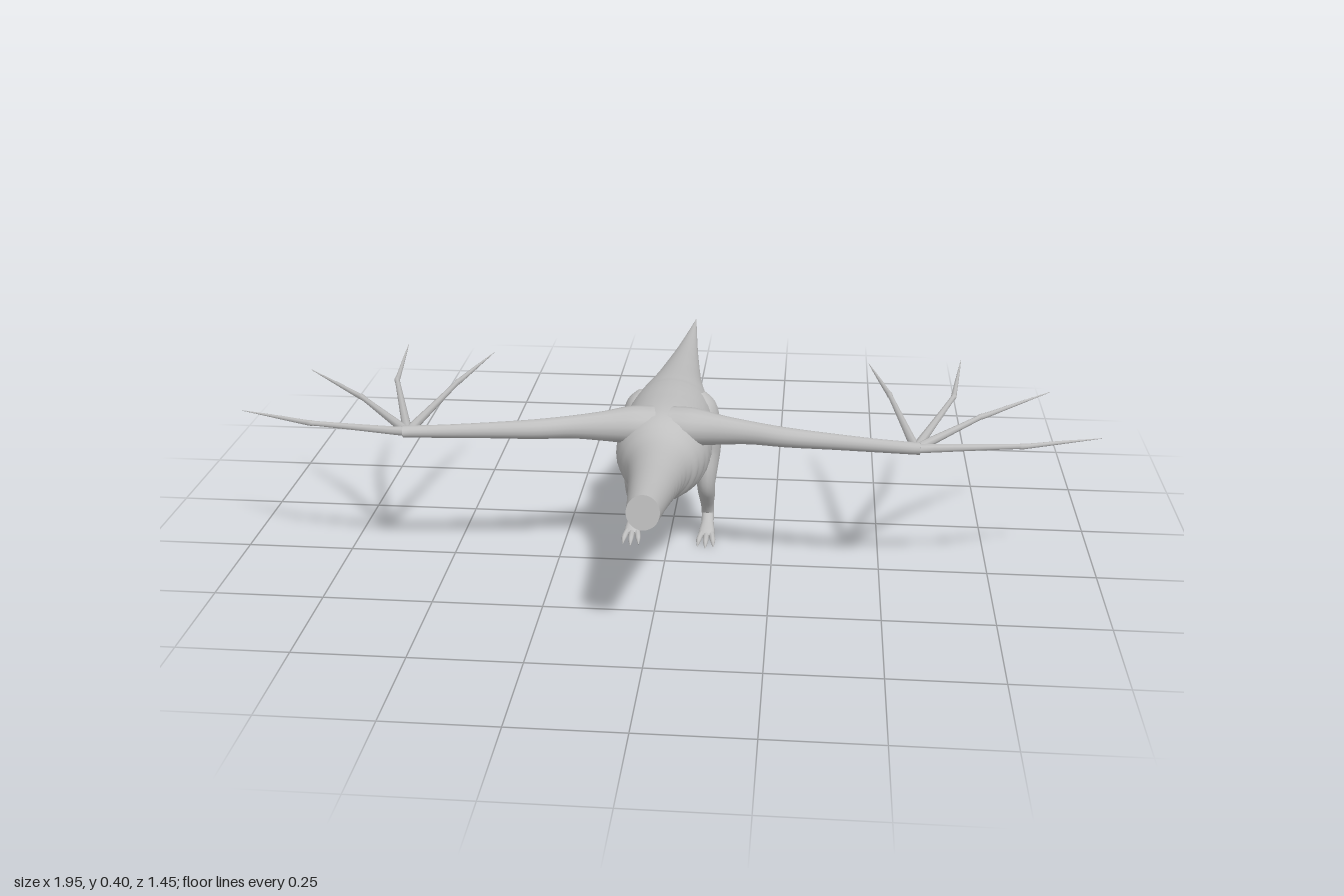
import * as THREE from 'three';

const skin = new THREE.MeshStandardMaterial({ color: 0xbfbfbf });
skin.name = 'grey skin';

// Smooth loft along points [x, y, z, r1, r2]: r1 lies along the ref axis, r2 across it.
function loft(name, pts, ref, rings, sides, bump = () => 1) {
  const path = new THREE.CatmullRomCurve3(pts.map(p => new THREE.Vector3(p[0], p[1], p[2])), false, 'catmullrom', 0.5);
  const size = new THREE.CatmullRomCurve3(pts.map(p => new THREE.Vector3(p[3], p[4] ?? p[3], 0)), false, 'catmullrom', 0.5);
  const pos = [], idx = [], loops = [];
  for (let i = 0; i <= rings; i++) {
    const t = i / rings, c = path.getPoint(t), r = size.getPoint(t), dir = path.getTangent(t);
    const v = new THREE.Vector3().crossVectors(dir, ref).normalize();
    const u = new THREE.Vector3().crossVectors(v, dir).normalize();
    const loop = [];
    for (let j = 0; j < sides; j++) {
      const a = j / sides * Math.PI * 2, k = bump(c, a);
      loop.push(c.clone().addScaledVector(u, Math.cos(a) * r.x * k).addScaledVector(v, Math.sin(a) * r.y * k));
    }
    loops.push(loop);
    loop.forEach(p => pos.push(p.x, p.y, p.z));
  }
  for (let i = 0; i < rings; i++) for (let j = 0; j < sides; j++) {
    const k = (j + 1) % sides, a = i * sides + j, b = i * sides + k;
    idx.push(a, a + sides, b, b, a + sides, b + sides);
  }
  // flat end caps with their own corners
  for (const [loop, end] of [[loops[0], false], [loops[rings], true]]) {
    const base = pos.length / 3;
    loop.forEach(p => pos.push(p.x, p.y, p.z));
    for (let j = 1; j < sides - 1; j++) {
      if (end) idx.push(base, base + j + 1, base + j);
      else idx.push(base, base + j, base + j + 1);
    }
  }
  const g = new THREE.BufferGeometry();
  g.setAttribute('position', new THREE.Float32BufferAttribute(pos, 3));
  // keep the winding outward
  let volume = 0;
  const at = i => new THREE.Vector3(pos[i * 3], pos[i * 3 + 1], pos[i * 3 + 2]);
  for (let i = 0; i < idx.length; i += 3) volume += at(idx[i]).dot(at(idx[i + 1]).cross(at(idx[i + 2])));
  g.setIndex(volume < 0 ? idx.reverse() : idx);
  g.computeVertexNormals();
  const m = new THREE.Mesh(g, skin);
  m.name = name;
  return m;
}

const X = new THREE.Vector3(1, 0, 0), Y = new THREE.Vector3(0, 1, 0);

function makeBody() {
  // z, top, bottom, half width
  const profile = [
    [0.72, 0.38, 0.305, 0.035], [0.6, 0.371, 0.28, 0.045], [0.5, 0.366, 0.257, 0.055],
    [0.42, 0.368, 0.237, 0.068], [0.36, 0.382, 0.21, 0.088], [0.3, 0.4, 0.193, 0.105],
    [0.22, 0.4, 0.187, 0.108], [0.14, 0.395, 0.2, 0.103], [0.06, 0.387, 0.213, 0.095],
    [0, 0.379, 0.229, 0.083], [-0.1, 0.365, 0.243, 0.063], [-0.2, 0.35, 0.254, 0.05],
    [-0.4, 0.32, 0.266, 0.029], [-0.6, 0.295, 0.274, 0.011], [-0.72, 0.281, 0.279, 0.001]];
  // scalloped belly plates, fading out on the flanks and the tail
  const plates = (c, a) => {
    const under = Math.max(0, -Math.cos(a) * 1.15 + 0.15);
    const fade = THREE.MathUtils.smoothstep(c.z, -0.2, 0.1) * (1 - THREE.MathUtils.smoothstep(c.z, 0.5, 0.65));
    return 1 + 0.07 * Math.min(1, under) * fade * (Math.abs(Math.sin(c.z / 0.036 * Math.PI)) - 0.6);
  };
  return loft('body', profile.map(([z, t, b, w]) => [0, (t + b) / 2, z, (t - b) / 2, w]), Y, 280, 28, plates);
}

function makeWing(s) {
  const wing = new THREE.Group();
  wing.name = s > 0 ? 'leftWing' : 'rightWing';
  const mir = pts => pts.map(([x, ...rest]) => [x * s, ...rest]);
  wing.add(loft('arm', mir([
    [0.02, 0.362, 0.29, 0.042, 0.05], [0.07, 0.364, 0.3, 0.042, 0.047], [0.13, 0.366, 0.318, 0.034, 0.031],
    [0.2, 0.368, 0.335, 0.026, 0.024], [0.28, 0.368, 0.355, 0.022, 0.022], [0.38, 0.367, 0.368, 0.018, 0.017],
    [0.48, 0.366, 0.38, 0.015, 0.014], [0.57, 0.366, 0.39, 0.013, 0.015]]), Y, 40, 14));
  // finger joints and tips as [x, z]
  const fingers = [
    [[0.79, 0.355], [0.973, 0.283]], [[0.717, 0.185], [0.893, 0.0]],
    [[0.663, 0.064], [0.7, -0.21]], [[0.515, 0.064], [0.47, -0.165]]];
  for (const [[jx, jz], [tx, tz]] of fingers) {
    const mix = (a, b, t) => a + (b - a) * t;
    wing.add(loft('finger', mir([
      [0.56, 0.365, 0.388, 0.011], [mix(0.56, jx, 0.5), 0.365, mix(0.388, jz, 0.5), 0.008],
      [mix(0.56, jx, 0.93), 0.365, mix(0.388, jz, 0.93), 0.006], [jx, 0.365, jz, 0.007],
      [mix(jx, tx, 0.1), 0.364, mix(jz, tz, 0.1), 0.006],
      [mix(jx, tx, 0.5), 0.363, mix(jz, tz, 0.5), 0.004], [tx, 0.361, tz, 0.0006]]), Y, 18, 8));
  }
  return wing;
}

function makeLeg(s) {
  const leg = new THREE.Group();
  leg.name = s > 0 ? 'leftLeg' : 'rightLeg';
  const mir = pts => pts.map(([x, ...rest]) => [x * s, ...rest]);
  // thigh, shin and instep in one sweep
  leg.add(loft('limb', mir([
    [0.065, 0.355, 0.06, 0.015, 0.02], [0.072, 0.325, 0.066, 0.035, 0.05], [0.08, 0.275, 0.075, 0.039, 0.066],
    [0.084, 0.225, 0.085, 0.036, 0.062], [0.087, 0.18, 0.11, 0.027, 0.044],
    [0.087, 0.145, 0.117, 0.022, 0.03], [0.088, 0.11, 0.097, 0.02, 0.022],
    [0.088, 0.075, 0.075, 0.016, 0.017], [0.089, 0.047, 0.067, 0.015, 0.014],
    [0.09, 0.031, 0.09, 0.015, 0.012], [0.09, 0.019, 0.125, 0.019, 0.009],
    [0.09, 0.015, 0.138, 0.014, 0.006]]), X, 48, 14));
  // three front toes with claws
  for (const k of [-1, 0, 1]) {
    const len = k === 0 ? 0.06 : 0.05;
    leg.add(loft('toe', mir([
      [0.09 + k * 0.009, 0.019, 0.118, 0.008], [0.09 + k * 0.014, 0.016, 0.118 + len * 0.4, 0.007],
      [0.09 + k * 0.017, 0.012, 0.118 + len * 0.75, 0.006],
      [0.09 + k * 0.019, 0.002, 0.118 + len, 0.001]]), X, 10, 8));
  }
  leg.add(loft('backClaw', mir([
    [0.09, 0.026, 0.108, 0.007], [0.09, 0.016, 0.095, 0.005], [0.09, 0.006, 0.085, 0.001]]), X, 6, 8));
  return leg;
}

export function createModel() {
  const model = new THREE.Group();
  model.name = 'wingedReptile';
  model.add(makeBody());
  for (const s of [1, -1]) model.add(makeWing(s), makeLeg(s));
  return model;
}
